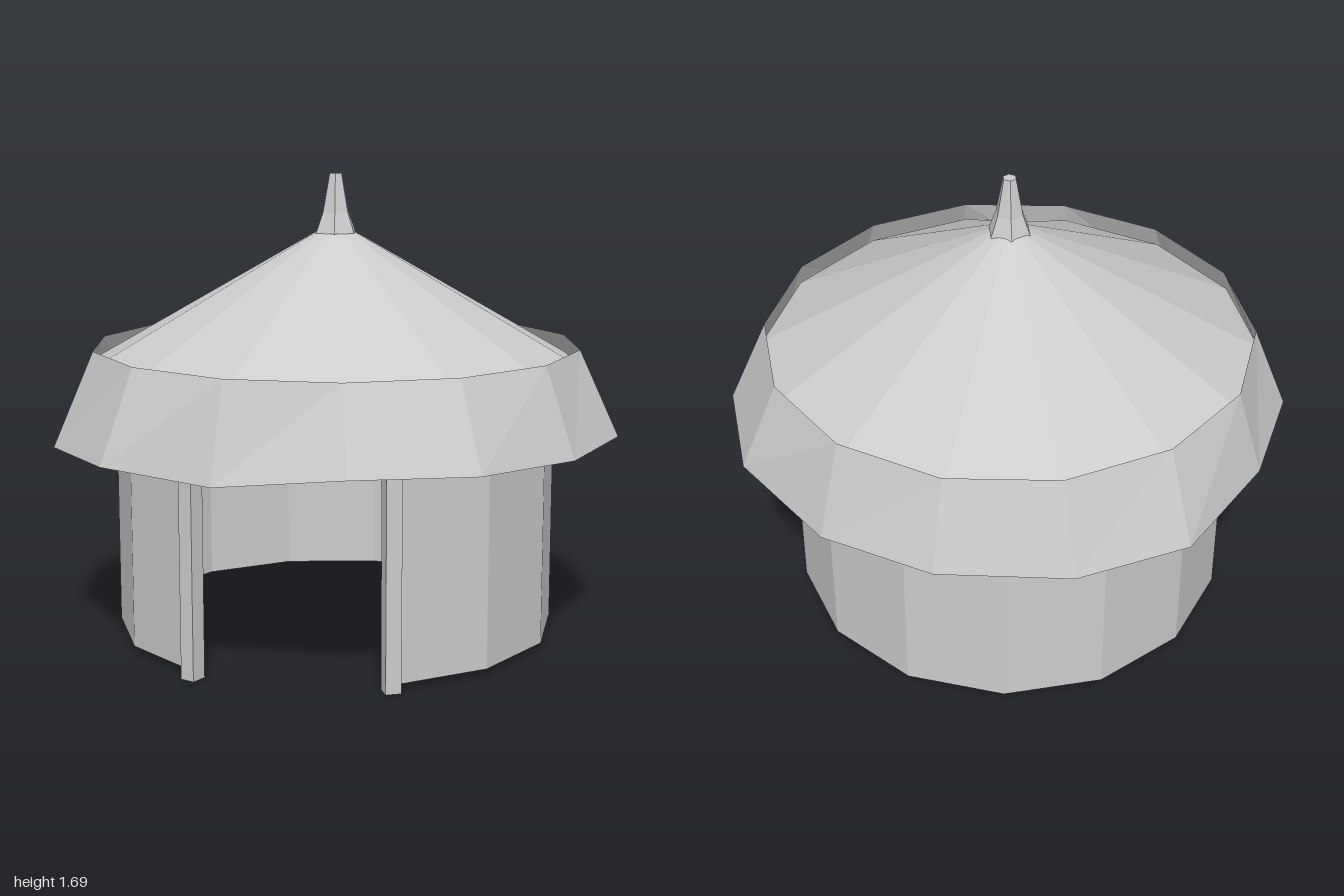
import * as THREE from 'three';

const SIDES = 14;
const STEP = (Math.PI * 2) / SIDES;

export function createModel() {
  const hut = new THREE.Group();
  hut.name = 'roundHut';

  const plainGrey = new THREE.MeshStandardMaterial({ color: 0xcccccc, flatShading: true, side: THREE.DoubleSide });
  plainGrey.name = 'plainGrey';

  const add = (name, geometry, x = 0, y = 0, z = 0, turn = 0) => {
    const mesh = new THREE.Mesh(geometry, plainGrey);
    mesh.name = name;
    mesh.position.set(x, y, z);
    mesh.rotation.y = turn;
    hut.add(mesh);
    return mesh;
  };

  // Thin faceted wall with two sides left out for the doorway
  const outline = [];
  for (let i = 2; i >= -10; i--) outline.push([0.81, i * STEP]);
  for (let i = -10; i <= 2; i++) outline.push([0.797, i * STEP]);
  const wallShape = new THREE.Shape(
    outline.map(([r, a]) => new THREE.Vector2(r * Math.cos(a), -r * Math.sin(a)))
  );
  const wall = new THREE.ExtrudeGeometry(wallShape, { depth: 0.975, bevelEnabled: false });
  wall.rotateX(-Math.PI / 2);
  add('wall', wall, -0.008, 0.025, -0.005);

  // Door posts, each square to the wall's rim
  const post = () => new THREE.BoxGeometry(0.055, 0.92, 0.06);
  add('rightDoorPost', post(), -0.188, 0.46, 0.785, -0.2);
  add('leftDoorPost', post(), 0.483, 0.46, 0.63, 0.67);

  // Lintel across the front of the posts, under the eaves
  add('lintel', new THREE.BoxGeometry(0.84, 0.05, 0.05), 0.16, 0.85, 0.765, 0.23);

  // Conical roof, tucked inside the skirt
  add('roofCone', new THREE.CylinderGeometry(0.06, 0.905, 0.485, SIDES, 1, true), -0.01, 1.2425, -0.008);

  // Flared skirt with an uneven hem: x, y, z of each lower corner
  const hem = [
    [0, 0.73, 0.99], [0.45, 0.78, 0.92], [0.8, 0.77, 0.65], [0.98, 0.755, 0.22],
    [1, 0.755, -0.25], [0.81, 0.75, -0.63], [0.43, 0.72, -0.89], [0, 0.745, -1],
    [-0.46, 0.74, -0.9], [-0.8, 0.74, -0.65], [-0.97, 0.75, -0.2], [-1, 0.75, 0.23],
    [-0.83, 0.725, 0.63], [-0.45, 0.745, 0.93],
  ];
  const skirt = new THREE.CylinderGeometry(0.893, 1, 1, SIDES, 1, true);
  const corners = skirt.attributes.position;
  for (let i = 0; i <= SIDES; i++) {
    corners.setXYZ(i, corners.getX(i) - 0.005, 1.07, corners.getZ(i));
    corners.setXYZ(SIDES + 1 + i, ...hem[i % SIDES]);
  }
  skirt.computeVertexNormals();
  add('roofSkirt', skirt);

  // Tapered six-sided finial
  const profile = [[0.08, 1.475], [0.052, 1.55], [0.025, 1.69], [0, 1.69]]
    .map(([r, y]) => new THREE.Vector2(r, y));
  const finial = new THREE.LatheGeometry(profile, 6);
  finial.computeVertexNormals();
  add('finial', finial, -0.005, 0, 0, 0.35);

  return hut;
}
